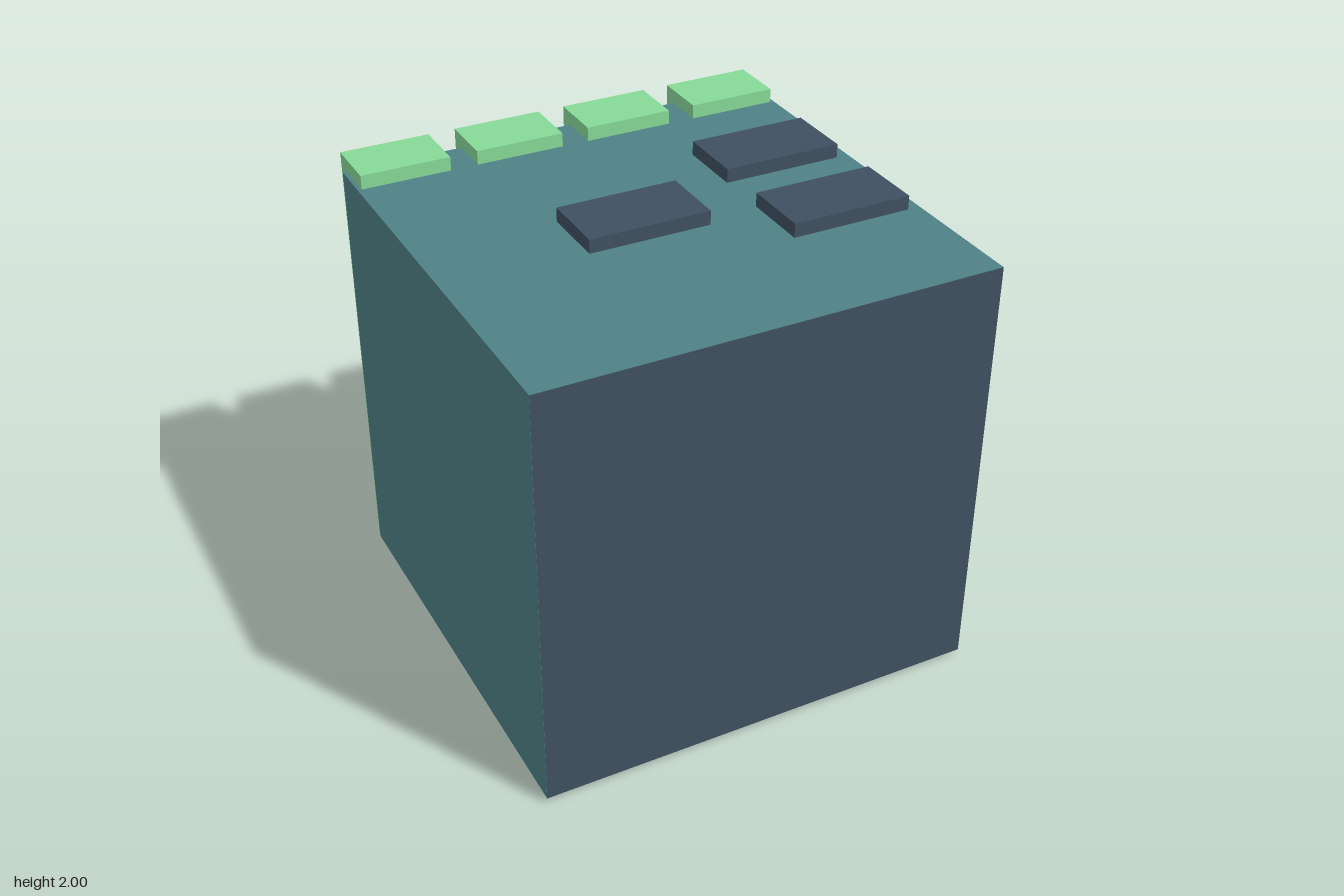
import * as THREE from 'three';

const paint = (color) => new THREE.MeshStandardMaterial({ color });

// Box given by its limits on each axis
function block(name, material, [x0, x1], [y0, y1], [z0, z1]) {
  const mesh = new THREE.Mesh(new THREE.BoxGeometry(x1 - x0, y1 - y0, z1 - z0), material);
  mesh.position.set((x0 + x1) / 2, (y0 + y1) / 2, (z0 + z1) / 2);
  mesh.name = name;
  return mesh;
}

export function createModel() {
  const model = new THREE.Group();
  model.name = 'ribbedCube';
  const teal = paint(0x4e8185);
  const slate = paint(0x405060);
  const green = paint(0x87d998);

  // Main cube
  const bottom = 0.024, top = 1.938;
  model.add(block('body', teal, [-0.99, 0.99], [bottom, top], [-0.935, 0.998]));

  // Dark sheet covering the front
  const front = new THREE.Mesh(new THREE.PlaneGeometry(1.98, top - bottom), slate);
  front.position.set(0, (bottom + top) / 2, 1);
  front.name = 'frontPanel';
  model.add(front);

  // Four upright bars wrapped around the back edge
  const bars = new THREE.Group();
  bars.name = 'backBars';
  for (const x of [-0.775, -0.258, 0.258, 0.775]) {
    bars.add(block('backBar', green, [x - 0.198, x + 0.198], [0, 2], [-1, -0.747]));
  }
  model.add(bars);

  // Three low pads on the top
  const pads = new THREE.Group();
  pads.name = 'topPads';
  for (const [x, z] of [[-0.107, 0.03], [0.667, -0.267], [0.667, 0.278]]) {
    pads.add(block('topPad', slate, [x - 0.267, x + 0.267], [1.9, 2], [z - 0.152, z + 0.152]));
  }
  model.add(pads);

  return model;
}
